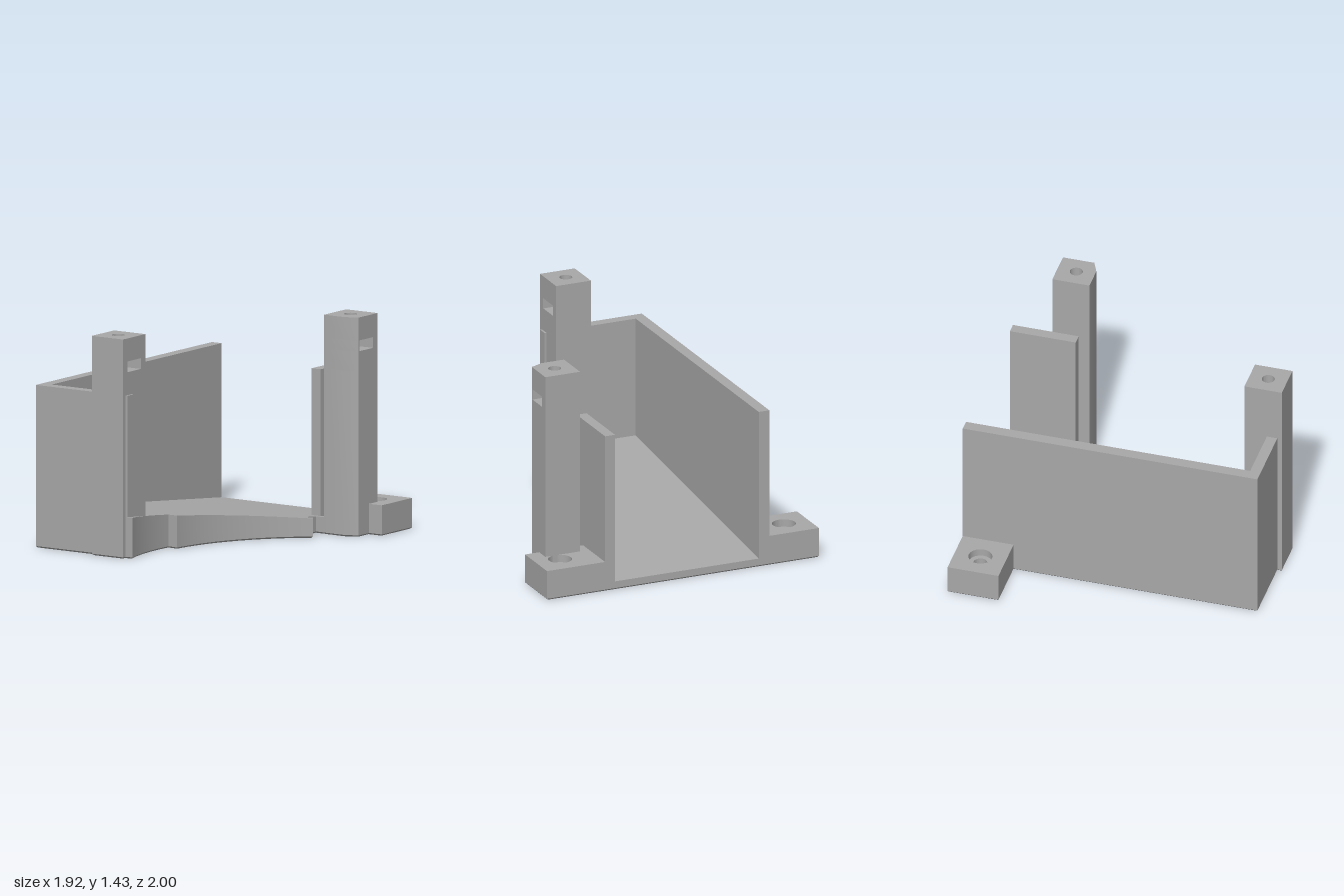
import * as THREE from 'three';
import { toCreasedNormals } from 'three/addons/utils/BufferGeometryUtils.js';

const grey = new THREE.MeshStandardMaterial({ color: 0xa8a8a8 });
grey.name = 'grey plastic';

const BEVEL = 0.01;

// Extrudes a plan outline of [x, z] points from y0 up to y1.
// holes: [x, z, radius]; bevel chamfers the bottom edge; top(z) slopes the upper face.
function slab(name, outline, y0, y1, { holes = [], bevel = false, top = () => y1 } = {}) {
  const shape = new THREE.Shape(outline.map(([x, z]) => new THREE.Vector2(x, -z)));
  for (const [x, z, r] of holes) {
    shape.holes.push(new THREE.Path().absarc(x, -z, r, 0, Math.PI * 2, true));
  }
  const b = bevel ? BEVEL : 0;
  let geo = new THREE.ExtrudeGeometry(shape, {
    depth: y1 - y0 - 2 * b, curveSegments: 24, bevelEnabled: bevel,
    bevelThickness: b, bevelSize: b, bevelOffset: -b, bevelSegments: 1,
  });
  geo.rotateX(-Math.PI / 2).translate(0, y0 + b, 0);
  const p = geo.attributes.position;
  for (let i = 0; i < p.count; i++) {
    if (p.getY(i) > y0 + b + 0.005) p.setY(i, top(p.getZ(i)));
  }
  geo = toCreasedNormals(geo, 0.5);
  const mesh = new THREE.Mesh(geo, grey);
  mesh.name = name;
  return mesh;
}

const rect = (x0, x1, z0, z1) => [[x1, z0], [x0, z0], [x0, z1], [x1, z1]];

// Points on a circle about the centre of the scooped edge, angles in degrees
function arc(r, from, to, n) {
  return Array.from({ length: n + 1 }, (_, i) => {
    const a = THREE.MathUtils.degToRad(from + (to - from) * i / n);
    return [1.33 + r * Math.cos(a), 0.6 - r * Math.sin(a)];
  });
}

// Post with a screw hole in the top and a nut slot in its +x face.
// The outline starts and ends on the +x face.
function post(name, outline, cx, cz) {
  const g = new THREE.Group();
  g.name = name;
  const xr = outline[0][0], s = 0.075, hole = [[cx, cz, 0.042]];
  const slot = [[xr, cz + s], [cx - 0.08, cz + s], [cx - 0.08, cz - s], [xr, cz - s]];
  g.add(
    slab('postShaft', outline, 0, 1.08, { bevel: true }),
    slab('postBelowSlot', outline, 1.08, 1.21, { holes: hole }),
    slab('postNutSlot', [...outline, ...slot], 1.21, 1.28),
    slab('postTop', outline, 1.28, 1.43, { holes: hole }),
  );
  return g;
}

// Mounting tab with a counterbored screw hole
function tab(name, x0, x1, hx) {
  const g = new THREE.Group();
  g.name = name;
  const outline = rect(x0, x1, -1, -0.66);
  g.add(
    slab('tabBase', outline, 0, 0.15, { bevel: true, holes: [[hx, -0.83, 0.045]] }),
    slab('tabRim', outline, 0.15, 0.2, { holes: [[hx, -0.83, 0.077]] }),
  );
  return g;
}

export function createModel() {
  const model = new THREE.Group();
  model.name = 'bracket';

  // Sloping floor with a scooped edge
  const floor = [
    [-0.61, 0.97], [-0.61, -1], [0.55, -1], [0.55, -0.66], [0.63, -0.66],
    [0.63, -0.51], [0.55, -0.51], [0.55, -0.38], [0.6, -0.405],
    ...arc(1.168, 126.1, 174.9, 28),
    ...arc(1.24, 174.9, 197.36, 14),
  ];
  model.add(slab('floor', floor, 0, 0.1, { bevel: true, top: z => 0.164 + 0.108 * z }));

  // Upright walls
  model.add(
    slab('sideWall', rect(-0.61, -0.535, -1, 0.97), 0.02, 1.06),
    slab('frontWall', rect(-0.535, 0.108, 0.9, 0.97), 0.02, 1.06),
    slab('shortWall', rect(0.48, 0.55, -1, -0.56), 0.02, 1.06),
  );

  // Mounting tabs
  model.add(tab('rightTab', -0.96, -0.59, -0.79), tab('leftTab', 0.53, 0.96, 0.79));

  // Screw posts
  model.add(
    post('frontPost', rect(-0.15, 0.095, 0.75, 1), -0.03, 0.875),
    post('backPost', [[0.86, -0.755], [0.615, -0.755], [0.615, -0.507], [0.775, -0.507], [0.86, -0.545]], 0.737, -0.63),
  );
  return model;
}
